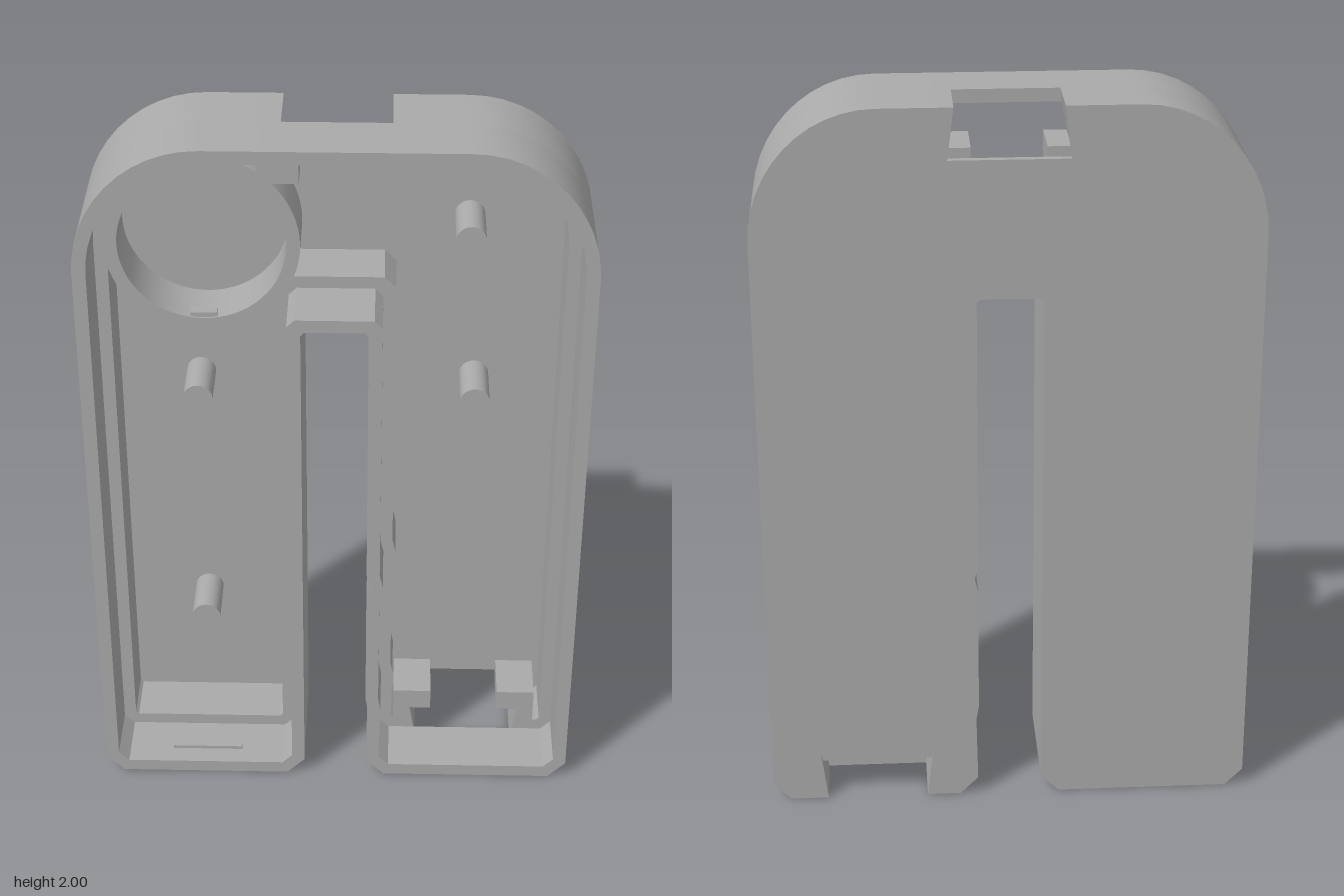
import * as THREE from 'three';
import { toCreasedNormals } from 'three/addons/utils/BufferGeometryUtils.js';

const BACK = -0.168, FLOOR = -0.148, LEDGE = 0, FRONT = 0.168;
const SOCKET_X = 0.371; // centre of the bottom socket

// Quarter of the rounded top, inset by d
function arc(side, d, from, to) {
  const pts = [];
  for (let i = 0; i <= 12; i++) {
    const a = from + (to - from) * i / 12;
    pts.push([side * 0.335 + (0.33 - d) * Math.cos(a), 1.65 + (0.35 - d) * Math.sin(a)]);
  }
  return pts;
}

// Outline from the top socket down the left side, round the slot, to the bottom socket
function leftHalf(d) {
  const c = 0.05 - 0.6 * d, s = 0.01 + 0.3 * d;
  const wave = [[0.085, 0.72], [0.094, 0.68], [0.085, 0.64], [0.085, 0.28], [0.092, 0.24]];
  return [
    [-0.16, 2 - d], ...arc(-1, d, Math.PI / 2, Math.PI),
    [-0.665 + d, c + d], [-0.665 + d + c, d],
    [-0.09 - d - c, d], [-0.09 - d, c + d],
    [-0.09 - d, 1.49 + d - s], [-0.09 - d + s, 1.49 + d],
    [0.085 + d - s, 1.49 + d], [0.085 + d, 1.49 + d - s],
    ...wave.map(([x, y]) => [x + d, y]),
    [0.088 + d, c + d], [0.088 + d + c, d], [SOCKET_X - 0.16, d],
  ];
}

// Outline from the bottom socket up the right side to the top socket
function rightHalf(d) {
  const c = 0.05 - 0.6 * d;
  return [
    [SOCKET_X + 0.16, d], [0.665 - d - c, d], [0.665 - d, c + d],
    ...arc(1, d, 0, Math.PI / 2), [0.16, 2 - d],
  ];
}

const toVectors = (pts) => pts.map(([x, y]) => new THREE.Vector2(x, y));

export function createModel() {
  const model = new THREE.Group();
  model.name = 'enclosureShell';
  const grey = new THREE.MeshStandardMaterial({ color: 0xaaaaaa });
  grey.name = 'grey plastic';

  function add(name, geometry) {
    const mesh = new THREE.Mesh(geometry, grey);
    mesh.name = name;
    model.add(mesh);
    return mesh;
  }

  function slab(name, shape, z0, z1) {
    const geo = new THREE.ExtrudeGeometry(shape, { depth: z1 - z0, bevelEnabled: false, curveSegments: 32 });
    geo.translate(0, 0, z0);
    return add(name, toCreasedNormals(geo, 0.45));
  }

  // Back plate with the two dovetail notches
  slab('backPlate', new THREE.Shape(toVectors([
    ...leftHalf(0),
    [SOCKET_X - 0.14, 0], [SOCKET_X - 0.157, 0.137], [SOCKET_X + 0.157, 0.137], [SOCKET_X + 0.14, 0],
    ...rightHalf(0),
    [0.14, 2], [0.157, 1.863], [-0.157, 1.863], [-0.14, 2],
  ])), BACK, FLOOR);

  // Thick lower wall, interrupted by the sockets
  for (const [name, half] of [['leftLowerWall', leftHalf], ['rightLowerWall', rightHalf]]) {
    slab(name, new THREE.Shape(toVectors([...half(0), ...half(0.07).reverse()])), FLOOR, LEDGE);
  }

  // Thin upper wall
  const rim = new THREE.Shape(toVectors([...leftHalf(0), ...rightHalf(0)]));
  rim.holes.push(new THREE.Path(toVectors([...leftHalf(0.036), ...rightHalf(0.036)])));
  slab('upperWall', rim, LEDGE, FRONT);

  // Undercut cheeks on both sides of each socket
  const cheek = [[0.14, 0], [0.157, 0.11], [0.097, 0.11], [0.097, 0.173], [0.205, 0.173], [0.205, 0]];
  for (const side of [-1, 1]) {
    slab('topSocketCheek', new THREE.Shape(toVectors(cheek.map(([x, y]) => [side * x, 2 - y]))), FLOOR, LEDGE);
    slab('bottomSocketCheek', new THREE.Shape(toVectors(cheek.map(([x, y]) => [SOCKET_X + side * x, y]))), FLOOR, LEDGE);
  }

  // Round holder with two small clips
  const ring = new THREE.Shape().absarc(-0.35, 1.65, 0.255, 0, Math.PI * 2);
  ring.holes.push(new THREE.Path().absarc(-0.35, 1.65, 0.219, 0, Math.PI * 2));
  slab('roundHolder', ring, FLOOR, LEDGE);
  for (const side of [-1, 1]) {
    add('holderClip', new THREE.BoxGeometry(0.07, 0.018, 0.03))
      .position.set(-0.35, 1.65 + side * 0.214, -0.02);
  }

  // Support pins
  for (const [x, y] of [[-0.375, 1.18], [-0.375, 0.44], [0.345, 1.67], [0.37, 1.18]]) {
    const pin = add('supportPin', new THREE.CylinderGeometry(0.04, 0.04, LEDGE - FLOOR, 24));
    pin.rotation.x = Math.PI / 2;
    pin.position.set(x, y, (FLOOR + LEDGE) / 2);
  }

  // Snap ridge inside the left foot
  add('snapRidge', new THREE.BoxGeometry(0.2, 0.012, 0.025)).position.set(-0.375, 0.04, 0.1);

  return model;
}
